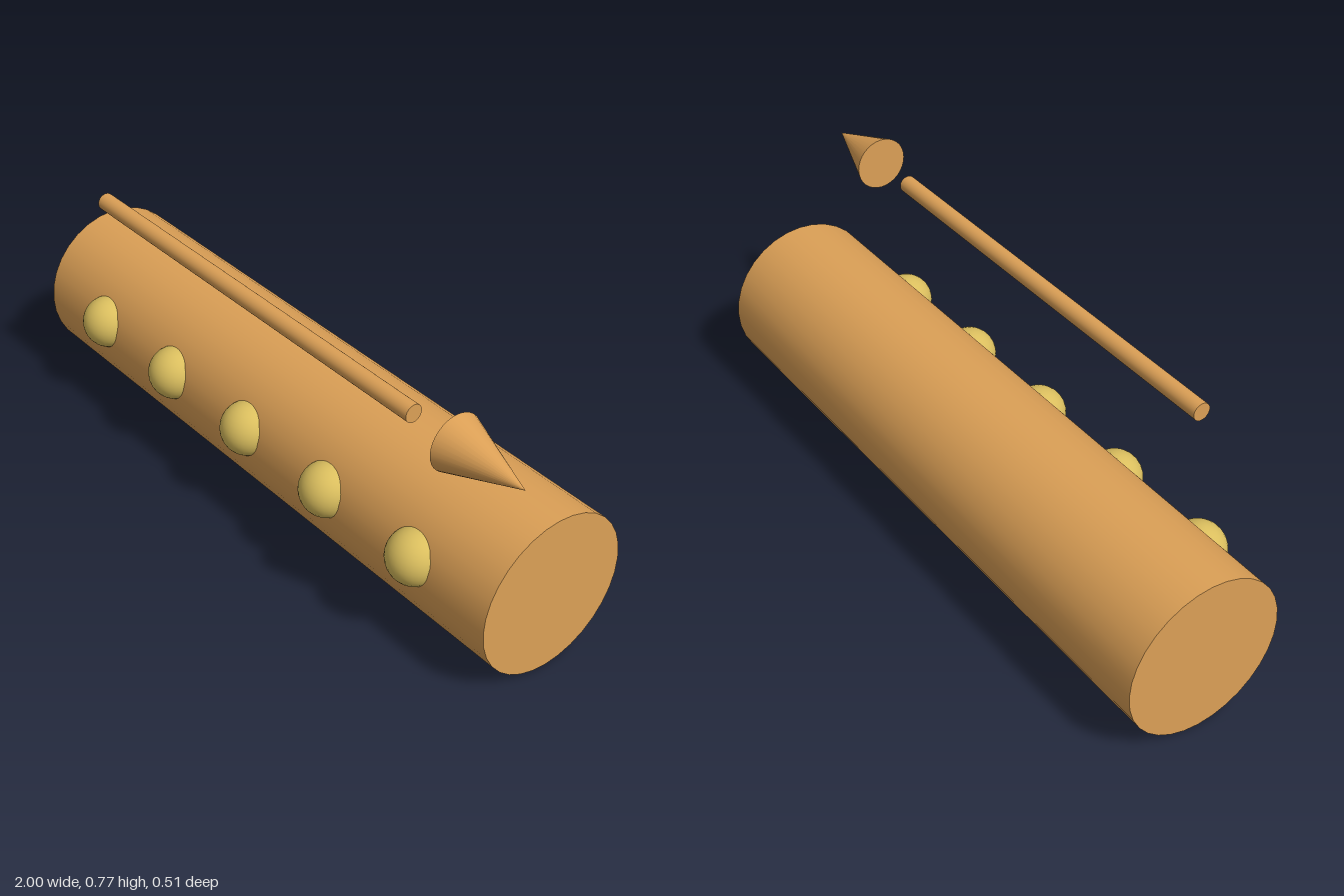
import * as THREE from 'three';

export function createModel() {
  const model = new THREE.Group();
  const wood = new THREE.MeshStandardMaterial({ color: 0xdca056 });
  wood.name = 'warm wood';
  const brass = new THREE.MeshStandardMaterial({ color: 0xdabe5e });
  brass.name = 'pale brass';

  function add(name, geometry, material, x, y, z) {
    const mesh = new THREE.Mesh(geometry, material);
    mesh.name = name;
    mesh.position.set(x, y, z);
    model.add(mesh);
  }

  // Round parts lying along x, with their top end towards +x
  function addAlongX(name, x0, x1, rStart, rEnd, y, z) {
    const geometry = new THREE.CylinderGeometry(rEnd, rStart, x1 - x0, 32);
    geometry.rotateZ(-Math.PI / 2);
    add(name, geometry, wood, (x0 + x1) / 2, y, z);
  }

  addAlongX('body', -1, 0.93, 0.229, 0.229, 0.23, -0.025);

  // Floating arrow: shaft and separate head
  addAlongX('arrowShaft', -0.694, 0.626, 0.025, 0.025, 0.69, 0.177);
  addAlongX('arrowHead', 0.77, 1, 0.078, 0, 0.69, 0.177);

  // Row of studs sunk into the front of the body
  const stud = new THREE.SphereGeometry(0.077, 32, 16);
  for (let i = 0; i < 5; i++) {
    add('stud' + (i + 1), stud, brass, -0.724 + i * 0.344, 0.276, 0.178);
  }

  return model;
}
